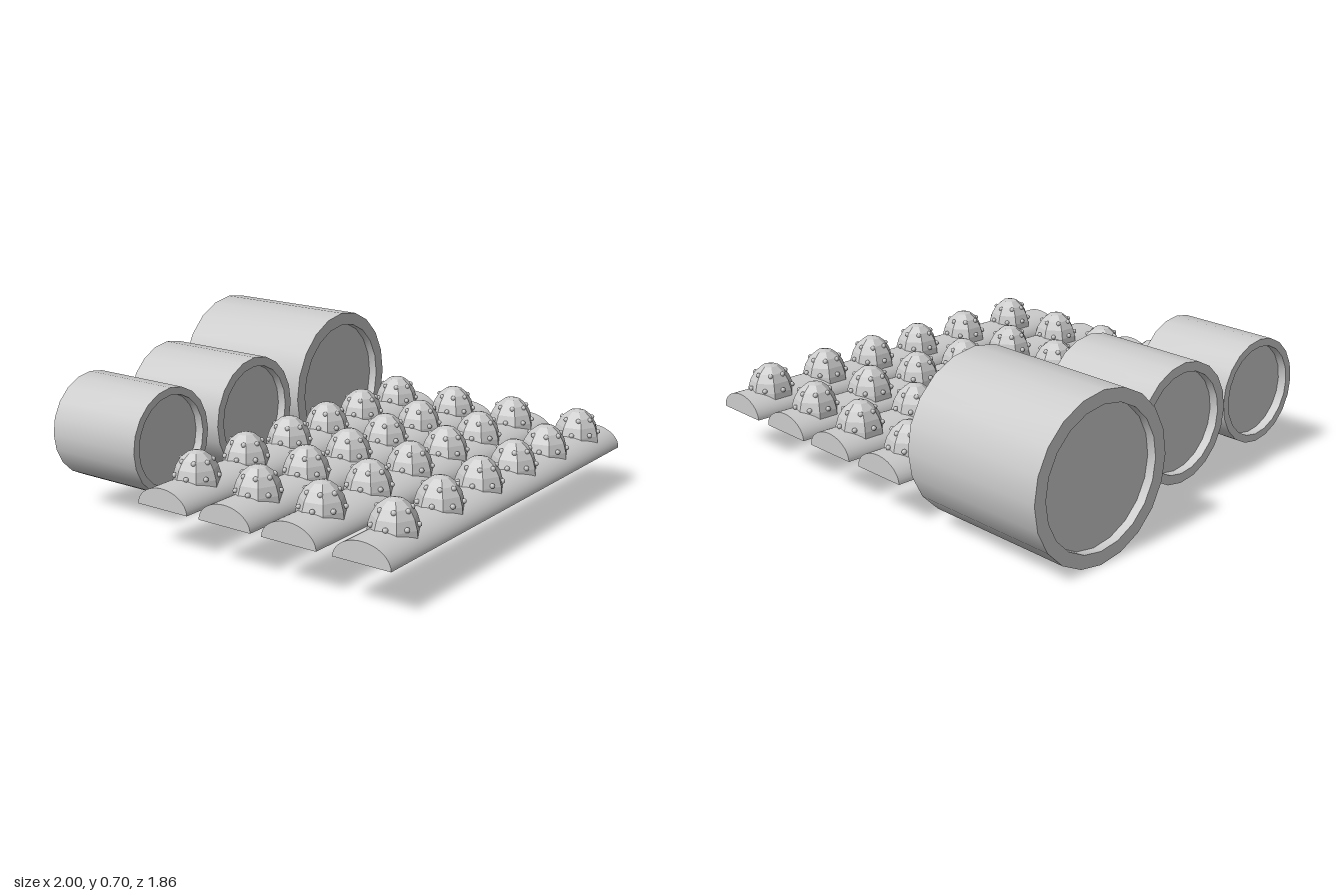
import * as THREE from 'three';
import { toCreasedNormals } from 'three/addons/utils/BufferGeometryUtils.js';

const smooth = new THREE.MeshStandardMaterial({ color: 0xcccccc });
const faceted = new THREE.MeshStandardMaterial({ color: 0xcccccc, flatShading: true });

const points = (list) => list.map(([x, y]) => new THREE.Vector2(x, y));

function addMesh(parent, name, geometry, material, x = 0, y = 0, z = 0) {
  const mesh = new THREE.Mesh(geometry, material);
  mesh.name = name;
  mesh.position.set(x, y, z);
  parent.add(mesh);
  return mesh;
}

// Round bale lying along x, with a recessed disc in each end
function baleGeometry(radius, inner, length, recess) {
  const h = length / 2;
  const profile = points([
    [0, -h + recess], [inner, -h + recess], [inner, -h], [radius, -h],
    [radius, h], [inner, h], [inner, h - recess], [0, h - recess],
  ]);
  const geometry = new THREE.LatheGeometry(profile, 20);
  geometry.rotateZ(Math.PI / 2);
  return toCreasedNormals(geometry, 0.6);
}

// Long soil ridge with a half-oval section and a flat underside
function ridgeGeometry(halfWidth, height, length) {
  const shape = new THREE.Shape();
  shape.absellipse(0, 0, halfWidth, height, 0, Math.PI, false);
  shape.closePath();
  const geometry = new THREE.ExtrudeGeometry(shape, { depth: length, bevelEnabled: false, curveSegments: 16 });
  geometry.translate(0, 0, -length / 2);
  return toCreasedNormals(geometry, 0.6);
}

// Seven-sided leafy dome
function domeGeometry() {
  const profile = points([
    [0, 0], [0.105, 0], [0.102, 0.035], [0.09, 0.075],
    [0.068, 0.112], [0.036, 0.138], [0, 0.147],
  ]);
  const geometry = new THREE.LatheGeometry(profile, 7);
  geometry.rotateY(Math.PI / 2);
  return geometry;
}

export function createModel() {
  const model = new THREE.Group();
  model.name = 'farmField';

  // Three bales from large to small: radius, inner radius, length, x, z
  const bales = [
    ['largeBale', 0.352, 0.295, 0.70, -0.65, -0.58],
    ['mediumBale', 0.261, 0.22, 0.525, -0.578, 0.065],
    ['smallBale', 0.233, 0.2, 0.47, -0.575, 0.595],
  ];
  for (const [name, radius, inner, length, x, z] of bales) {
    addMesh(model, name, baleGeometry(radius, inner, length, 0.04), smooth, x, 0.352, z);
  }

  // Planted rows
  const ridge = ridgeGeometry(0.13, 0.088, 1.85);
  const dome = domeGeometry();
  const bud = new THREE.IcosahedronGeometry(0.011, 1);
  const rowX = [-0.1, 0.222, 0.536, 0.87];
  const plantZ = [-0.765, -0.465, -0.19, 0.09, 0.39, 0.708];
  // Rings of buds: radius, height, turn
  const budRings = [[0.093, 0.045, 0.5], [0.067, 0.106, 0.15]];

  for (const x of rowX) {
    const row = new THREE.Group();
    row.name = 'cropRow';
    row.position.x = x;
    model.add(row);
    addMesh(row, 'soilRidge', ridge, smooth, 0, 0.19, 0);

    for (const z of plantZ) {
      const plant = new THREE.Group();
      plant.name = 'plant';
      plant.position.set(-0.003, 0.24, z);
      row.add(plant);
      addMesh(plant, 'leafyDome', dome, faceted);
      for (const [radius, height, turn] of budRings) {
        for (let i = 0; i < 7; i++) {
          const a = ((i + turn) / 7) * Math.PI * 2;
          addMesh(plant, 'bud', bud, smooth, Math.cos(a) * radius, height, Math.sin(a) * radius);
        }
      }
    }
  }
  return model;
}
